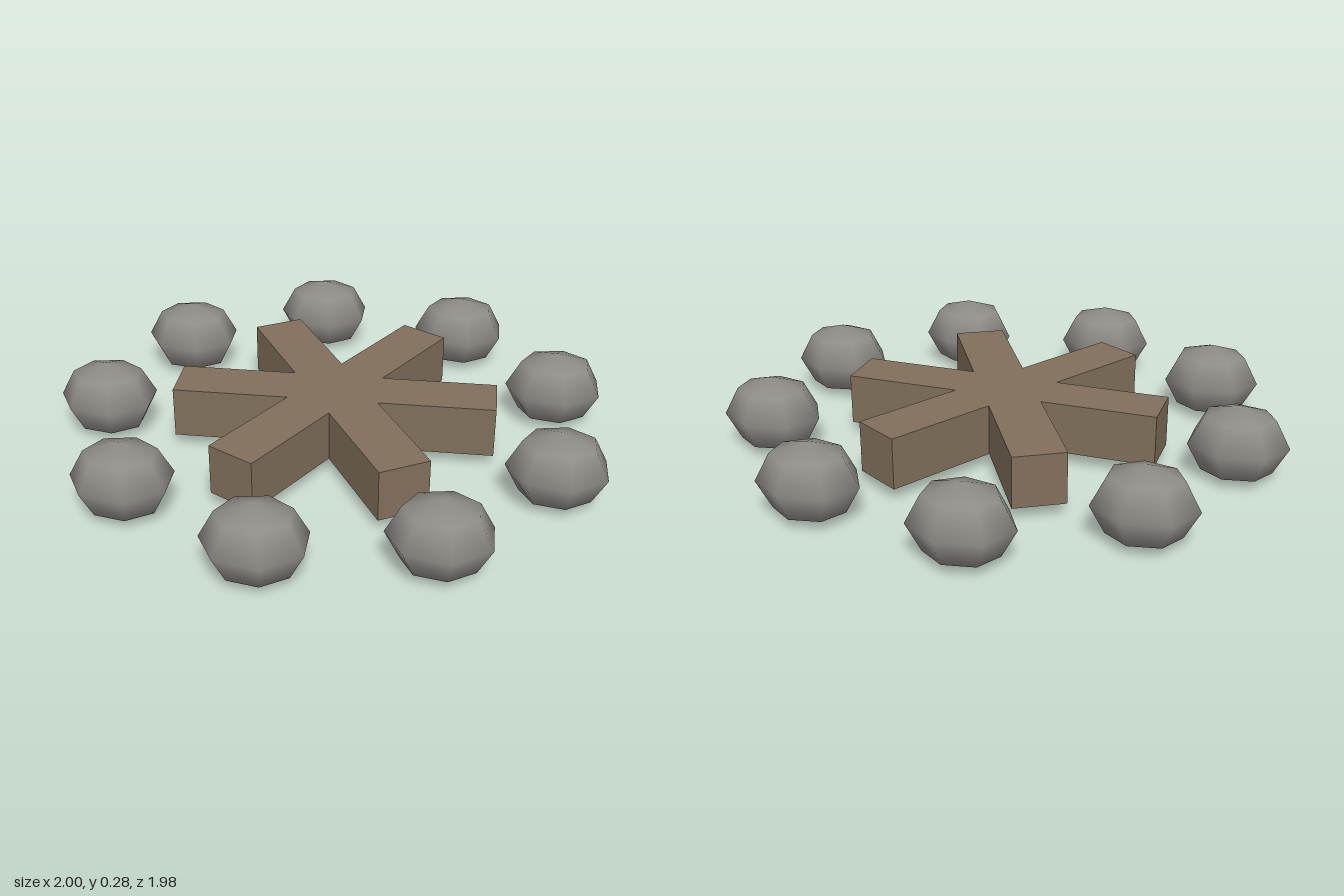
import * as THREE from 'three';

export function createModel() {
  const model = new THREE.Group();
  model.name = 'campfire';
  const wood = new THREE.MeshStandardMaterial({ name: 'wood brown', color: 0x806f5b });
  const stone = new THREE.MeshStandardMaterial({ name: 'stone grey', color: 0x8e8c87 });

  const centreX = 0.034;

  // Three square logs crossing in a six-armed star
  const logGeometry = new THREE.BoxGeometry(1.166, 0.188, 0.188);
  for (let i = 0; i < 3; i++) {
    const log = new THREE.Mesh(logGeometry, wood);
    log.name = `log${i + 1}`;
    log.position.set(centreX, 0.142, 0);
    log.rotation.y = (i * Math.PI) / 3;
    model.add(log);
  }

  // Ring of nine flattened, seven-sided stones, all facing the same way
  const stoneGeometry = new THREE.SphereGeometry(0.14, 7, 4);
  stoneGeometry.scale(1.3, 1, 1.1);
  const ringRadius = 0.852;
  for (let i = 0; i < 9; i++) {
    const angle = Math.PI + (i * Math.PI * 2) / 9;
    const rock = new THREE.Mesh(stoneGeometry, stone);
    rock.name = `stone${i + 1}`;
    rock.position.set(centreX + Math.cos(angle) * ringRadius, 0.14, Math.sin(angle) * ringRadius);
    model.add(rock);
  }
  return model;
}
